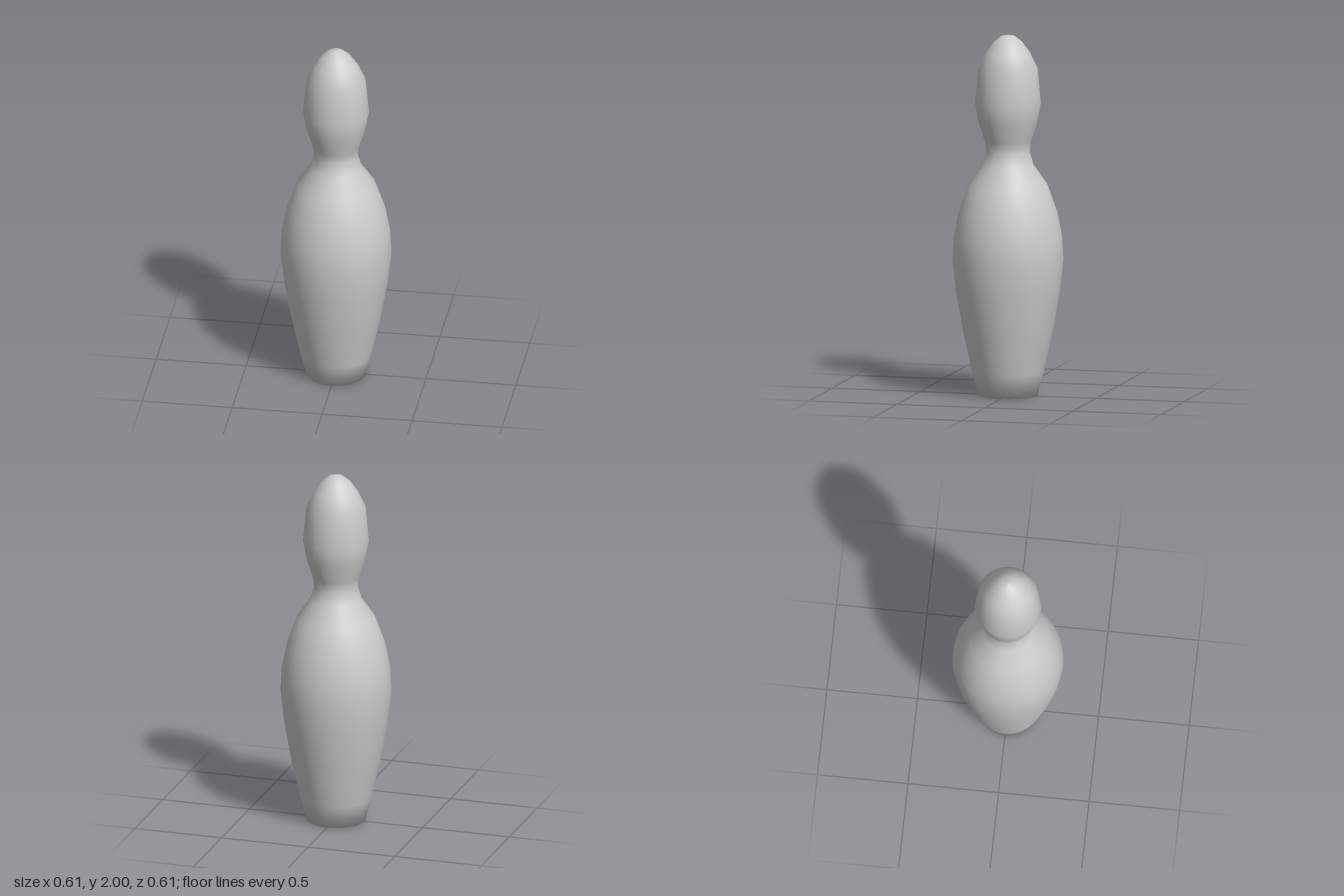
import * as THREE from 'three';

export function createModel() {
  const group = new THREE.Group();
  group.name = 'bowlingPin';

  // Half outline [radius, height], from the centre of the base to the tip
  const profile = [
    [0, 0], [0.163, 0], [0.197, 0.13], [0.248, 0.36], [0.285, 0.57], [0.305, 0.75],
    [0.298, 0.88], [0.27, 1.02], [0.216, 1.17], [0.14, 1.28], [0.119, 1.355],
    [0.128, 1.41], [0.161, 1.51], [0.181, 1.62], [0.163, 1.815],
    [0.122, 1.9], [0.079, 1.96], [0.038, 1.993], [0, 2],
  ].map(([r, y]) => new THREE.Vector2(r, y));

  // Smooth turned body with a closed flat base
  const pin = new THREE.Mesh(
    new THREE.LatheGeometry(profile, 64),
    new THREE.MeshStandardMaterial({ color: 0xcccccc })
  );
  pin.name = 'pinBody';
  group.add(pin);
  return group;
}
